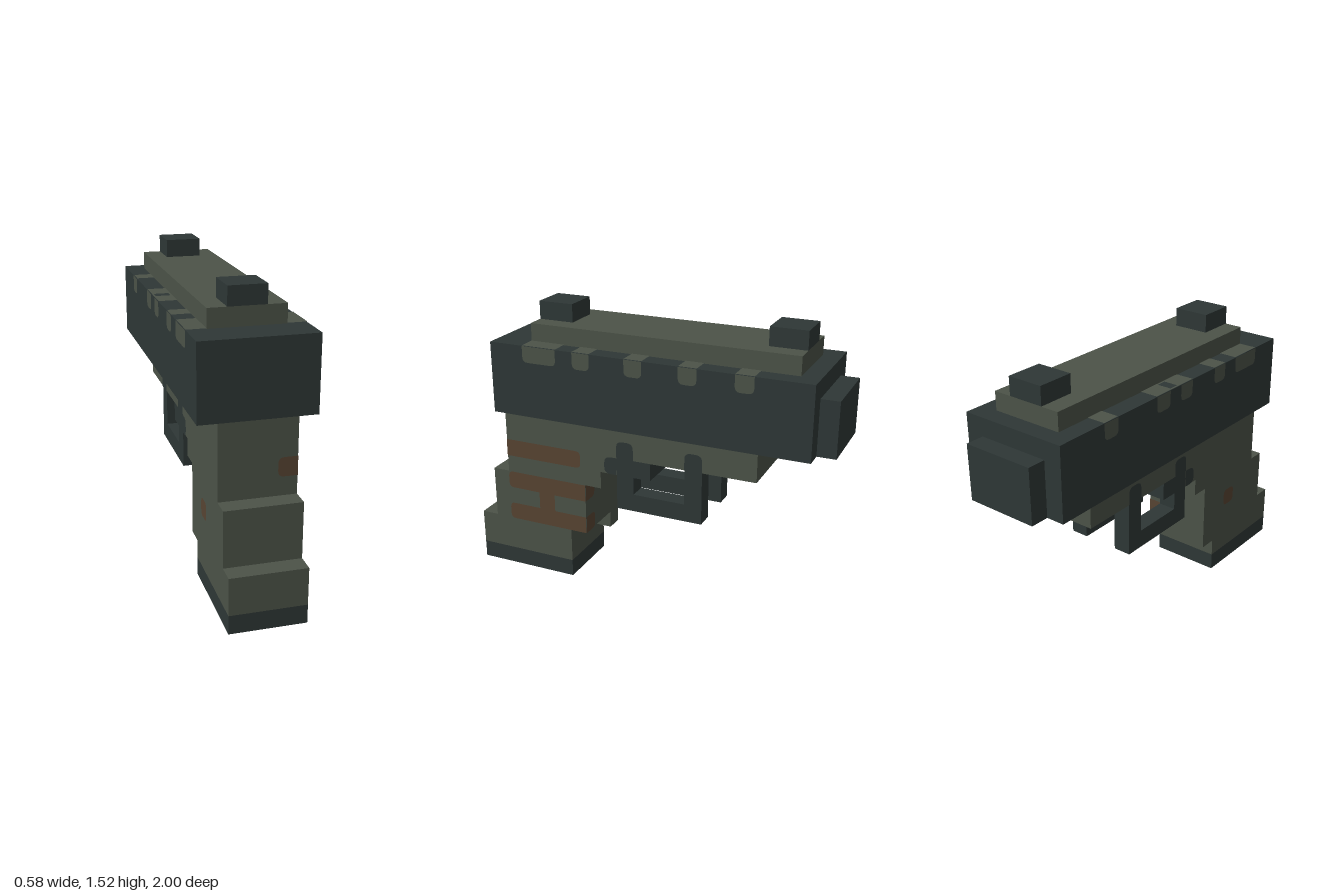
import * as THREE from 'three';

const U = 2 / 21; // one block
const LIFT = 0.003; // height of painted patches above a surface

const material = (name, color) => {
  const m = new THREE.MeshStandardMaterial({ color });
  m.name = name;
  return m;
};

export function createModel() {
  const dark = material('dark steel', 0x2e3736);
  const green = material('olive grey', 0x4c5348);
  const brown = material('brown', 0x584432);
  const model = new THREE.Group();

  // Box given by its limits in blocks
  function block(name, mat, x0, x1, y0, y1, z0, z1) {
    const geo = new THREE.BoxGeometry((x1 - x0) * U, (y1 - y0) * U, (z1 - z0) * U);
    const mesh = new THREE.Mesh(geo, mat);
    mesh.name = name;
    mesh.position.set((x0 + x1) / 2 * U, (y0 + y1) / 2 * U, (z0 + z1) / 2 * U);
    model.add(mesh);
  }

  // Flat rounded patch; corner radii run bottom-left, bottom-right, top-right, top-left
  const turns = {
    right: [0, Math.PI / 2], left: [0, -Math.PI / 2],
    front: [0, 0], back: [0, Math.PI], top: [-Math.PI / 2, 0],
  };
  function patch(name, mat, face, level, u0, v0, u1, v1, [a, b, c, d] = [0, 0, 0, 0]) {
    const s = new THREE.Shape();
    s.moveTo(u0 + a, v0);
    s.lineTo(u1 - b, v0);
    if (b) s.quadraticCurveTo(u1, v0, u1, v0 + b);
    s.lineTo(u1, v1 - c);
    if (c) s.quadraticCurveTo(u1, v1, u1 - c, v1);
    s.lineTo(u0 + d, v1);
    if (d) s.quadraticCurveTo(u0, v1, u0, v1 - d);
    s.lineTo(u0, v0 + a);
    if (a) s.quadraticCurveTo(u0, v0, u0 + a, v0);
    const geo = new THREE.ShapeGeometry(s, 4);
    geo.scale(U, U, 1).translate(0, 0, level * U + LIFT);
    geo.rotateX(turns[face][0]).rotateY(turns[face][1]);
    const mesh = new THREE.Mesh(geo, mat);
    mesh.name = name;
    model.add(mesh);
  }
  // Patch on either flank, given by its z and y limits
  function sidePatch(name, mat, side, level, z0, z1, y0, y1, r) {
    if (side > 0) patch(name, mat, 'right', level, -z1, y0, -z0, y1, r);
    else patch(name, mat, 'left', level, z0, y0, z1, y1, r && [r[1], r[0], r[3], r[2]]);
  }

  // Upper body
  block('slide', dark, -3, 3, 10, 14, -9.5, 8.5);
  block('muzzle', dark, -2, 2, 10, 13, -10.5, -9.5);
  block('topRail', green, -2, 2, 14, 15, -8.5, 6.5);
  block('rearSight', dark, -1, 1, 15, 16, 4.5, 6.5);
  block('frontSight', dark, -1, 1, 15, 16, -8.5, -6.5);

  // Frame and stepped grip
  block('frame', green, -2, 2, 8, 10, -6.5, 8.5);
  block('gripNeck', green, -2, 2, 6, 8, 2.5, 8.5);
  block('gripMiddle', green, -2, 2, 3, 6, 3.5, 9.5);
  block('gripLower', green, -2, 2, 1, 3, 4.5, 10.5);
  block('gripBase', dark, -2, 2, 0, 1, 4.5, 10.5);
  block('gripNub', green, -2, -1, 2, 3, 3.5, 4.5);

  // Trigger
  block('triggerMount', green, -2, 2, 7, 8, 1.5, 2.5);
  block('trigger', dark, -2, 2, 7, 8, -0.5, 1.5);

  for (const side of [1, -1]) {
    // Twin trigger guards
    const x0 = side > 0 ? 1 : -2, x1 = x0 + 1;
    block('guardRear', dark, x0, x1, 6, 7, 0.5, 1.5);
    block('guardBottom', dark, x0, x1, 5, 6, -3.5, 1.5);
    block('guardFront', dark, x0, x1, 6, 8, -3.5, -2.5);

    // Dark paint running from the guard onto the frame
    sidePatch('guardPaint', dark, side, 2, 0.5, 1.5, 8, 9, [0, 0, 0.35, 0.35]);
    sidePatch('guardPaint', dark, side, 2, -3.5, -2.5, 8, 9, [0, 0, 0.35, 0.35]);
    sidePatch('triggerPaint', dark, side, 2, 1.5, 2.25, 7, 8, [0.35, 0, 0, 0.4]);

    // Notches over the slide's upper edge
    const notches = [[-6.5, -5.5], side > 0 ? [-3.5, -2.5] : [-2.5, -1.4], [-0.5, 0.5], [2.5, 3.5], [4.5, 6.5]];
    for (const [z0, z1] of notches) {
      sidePatch('slideNotch', green, side, 3, z0, z1, 13.1, 14, [0.3, 0.3, 0, 0]);
      patch('slideNotchTop', green, 'top', 14, side > 0 ? 2 : -3, -z1, side > 0 ? 3 : -2, -z0);
    }
  }
  // Joined notch tops on the right-hand edge
  for (const x of [-3, -2.1]) patch('slideNotchTop', green, 'top', 14, x, 0.5, x + 0.1, 1.4);
  patch('slideNotchTop', green, 'top', 14, -2.9, 0.5, -2.1, 0.7);
  patch('slideNotchTop', green, 'top', 14, -2.9, 1.25, -2.1, 1.4);

  // Brown grip markings
  const rightEnd = [0, 0.3, 0.3, 0], all = [0.3, 0.3, 0.3, 0.3];
  sidePatch('gripMark', brown, 1, 2, 3.75, 8.5, 7, 8, rightEnd);
  sidePatch('gripMark', brown, 1, 2, 3.5, 8.5, 5, 6, [0.3, 0, 0, 0.3]);
  sidePatch('gripMark', brown, 1, 2, 5.5, 6.5, 4, 5);
  sidePatch('gripMark', brown, 1, 2, 3.5, 8.5, 3, 4, [0.3, 0, 0, 0.3]);
  sidePatch('gripMark', brown, -1, 2, 5.5, 6.5, 4, 5, all);
  patch('gripMarkFront', brown, 'front', 8.5, 1, 7, 2, 8, [0.3, 0, 0, 0.3]);
  for (const y of [3, 5]) patch('gripMarkBack', brown, 'back', -3.5, -2, y, -1, y + 1, rightEnd);

  return model;
}
